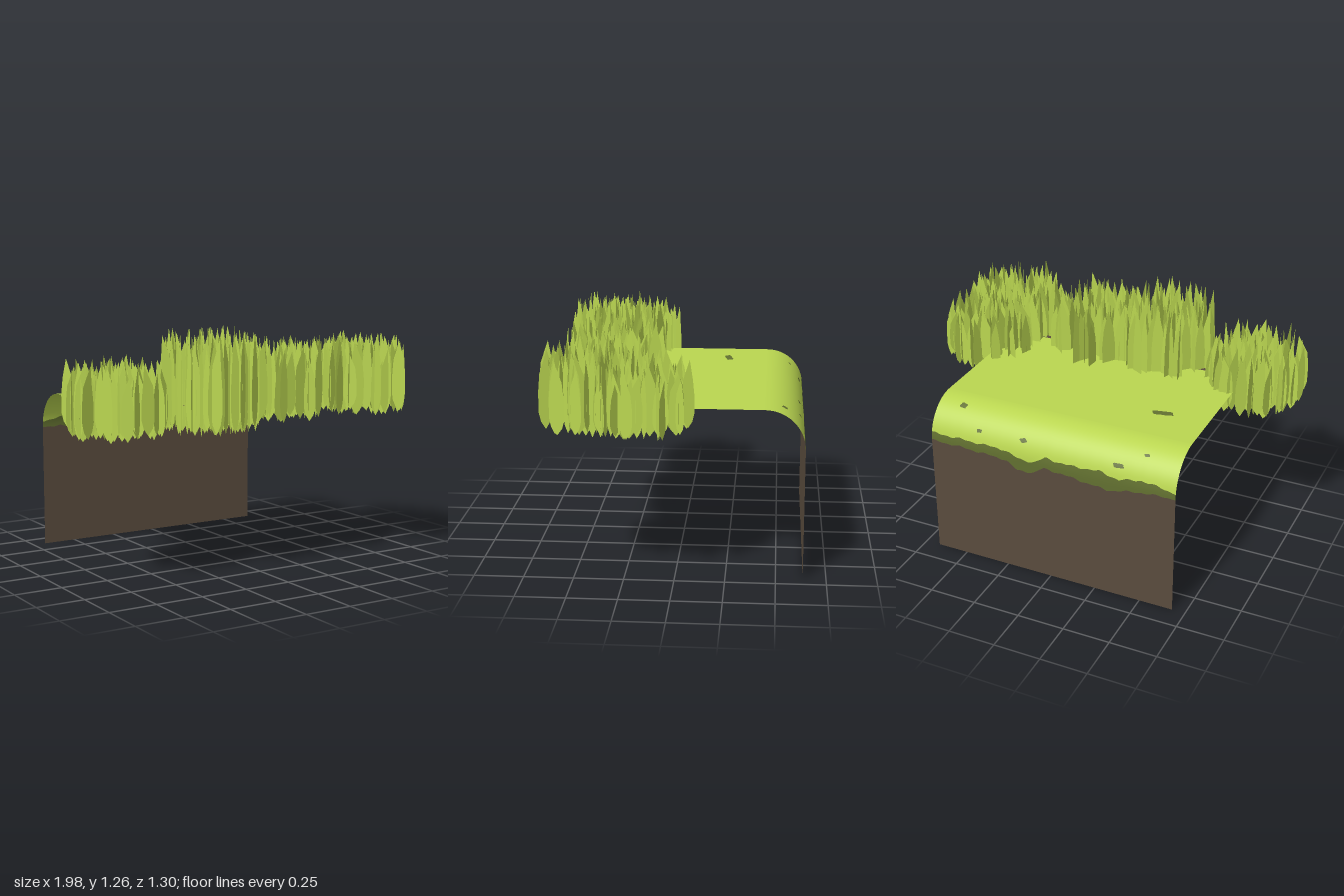
import * as THREE from 'three';
import { mergeGeometries } from 'three/addons/utils/BufferGeometryUtils.js';

const mat = (name, color) =>
  new THREE.MeshStandardMaterial({ name, color, side: THREE.DoubleSide });

// Sheet profile by arc length: upright wall, quarter bend, flat top
const BACK = -0.635, WALL = 0.66, R = 0.2, BEND = (R * Math.PI) / 2, END = WALL + BEND + 0.76;
function profile(s, lift = 0) {
  if (s < WALL) return [s, BACK - lift];
  if (s < WALL + BEND) {
    const a = (s - WALL) / R, r = R + lift;
    return [WALL + Math.sin(a) * r, BACK + R - Math.cos(a) * r];
  }
  return [WALL + R + lift, BACK + R + s - WALL - BEND];
}

// Ragged border: linear interpolation through [x, s] points plus a ripple
function border(points, ripple) {
  return (x) => {
    let i = 0;
    while (i < points.length - 2 && x > points[i + 1][0]) i++;
    const [x0, s0] = points[i], [x1, s1] = points[i + 1];
    const wave = Math.sin(x * 41) + 0.75 * Math.sin(x * 87 + 1);
    return s0 + ((s1 - s0) * (x - x0)) / (x1 - x0) + ripple * wave;
  };
}

// Strip of the sheet between two borders
function band(from, to, rows) {
  const geo = new THREE.PlaneGeometry(1, 1, 90, rows);
  const pos = geo.attributes.position;
  for (let i = 0; i < pos.count; i++) {
    const x = -0.005 - pos.getX(i) * 1.35;
    const [y, z] = profile(THREE.MathUtils.lerp(from(x), to(x), pos.getY(i) + 0.5));
    pos.setXYZ(i, x, y, z);
  }
  geo.computeVertexNormals();
  return geo;
}

// Small irregular patch laid on the sheet
function patch(x, s, w, h) {
  const geo = new THREE.CircleGeometry(1, 14);
  const pos = geo.attributes.position;
  for (let i = 0; i < pos.count; i++) {
    const k = 1 + 0.15 * Math.sin(i * 1.7 + x * 9);
    const [y, z] = profile(s + pos.getY(i) * h * k, 0.003);
    pos.setXYZ(i, x - pos.getX(i) * w * k, y, z);
  }
  geo.computeVertexNormals();
  return geo;
}

// Seeded random numbers
function seeded(seed) {
  return () => {
    seed = (seed * 1664525 + 1013904223) % 4294967296;
    return seed / 4294967296;
  };
}

// Upright leaf-shaped blade, pointed at both ends, its tip swept to one side
function blade(width, height, sweep) {
  const w = width / 2;
  const shape = new THREE.Shape([
    [0, 0], [0.7, 0.1], [1, 0.22], [1, 0.48], [0.75, 0.72], [sweep, 1],
    [-0.75, 0.72], [-1, 0.48], [-1, 0.22], [-0.7, 0.1],
  ].map(([x, y]) => new THREE.Vector2(x * w, y * height)));
  return new THREE.ShapeGeometry(shape);
}

// Round clump of blades facing random ways
function clump(cx, cz, base, top, radius, rand) {
  const blades = [];
  const count = 110;
  for (let i = 0; i < count; i++) {
    const r = Math.sqrt((i + 0.5) / count);
    const a = i * 2.39996 + rand() * 0.5;
    const bottom = base + rand() * 0.04 + r * r * 0.02;
    const height = top - rand() * 0.09 - r * r * 0.015 - bottom;
    const geo = blade(0.045 + rand() * 0.035, height, rand() * 1.2 - 0.6);
    geo.rotateY(rand() * Math.PI * 2);
    geo.translate(cx + Math.cos(a) * r * radius, bottom, cz + Math.sin(a) * r * radius);
    blades.push(geo);
  }
  return mergeGeometries(blades);
}

export function createModel() {
  const group = new THREE.Group();
  const green = mat('grass green', 0xbad650);
  const dark = mat('shaded moss', 0x627030);
  const soil = mat('soil brown', 0x5a4c3d);
  const add = (name, geo, material) => {
    const mesh = new THREE.Mesh(geo, material);
    mesh.name = name;
    group.add(mesh);
  };

  // Ground sheet: soil wall, moss fringe, grassy top, soil front edge
  const soilTop = border([[-0.68, 0.66], [-0.5, 0.65], [-0.32, 0.615], [-0.05, 0.645],
    [0.03, 0.65], [0.08, 0.61], [0.18, 0.6], [0.24, 0.645], [0.5, 0.655], [0.67, 0.655]], 0.004);
  const mossTop = border([[-0.68, 0.69], [-0.5, 0.715], [-0.38, 0.69], [-0.28, 0.71],
    [-0.1, 0.7], [0.02, 0.71], [0.08, 0.67], [0.17, 0.67], [0.25, 0.7], [0.67, 0.7]], 0.004);
  const turfEnd = border([[-0.68, END - 0.025], [0.1, END - 0.025], [0.15, END - 0.031],
    [0.24, END - 0.031], [0.28, END - 0.025], [0.67, END - 0.025]], 0);
  add('soilWall', band(() => 0, soilTop, 2), soil);
  add('mossFringe', band(soilTop, mossTop, 3), dark);
  add('turfBend', band(mossTop, () => WALL + BEND, 14), green);
  add('turfTop', band(() => WALL + BEND, turfEnd, 2), green);
  add('soilEdge', band(turfEnd, () => END, 1), soil);

  // Moss patches: x, position along the sheet, half width, half depth
  [[-0.46, 1.194, 0.034, 0.02], [-0.415, 1.184, 0.034, 0.02], [0.53, 0.875, 0.02, 0.016],
    [-0.5, 0.84, 0.015, 0.008], [0.4, 0.765, 0.015, 0.01], [0.15, 0.77, 0.02, 0.012],
    [-0.37, 0.76, 0.03, 0.012]].forEach((p) => add('mossPatch', patch(...p), dark));

  // Grass clumps: x, z, base height, top height
  const rand = seeded(7);
  [[-0.73, 0.33, 0.715, 1.13], [-0.21, 0.37, 0.71, 1.26], [0.18, 0.36, 0.75, 1.2],
    [0.7, 0.385, 0.75, 1.2], [0.735, 0.175, 0.75, 1.14]].forEach(([x, z, base, top]) =>
    add('grassClump', clump(x, z, base, top, 0.25, rand), green));

  return group;
}
